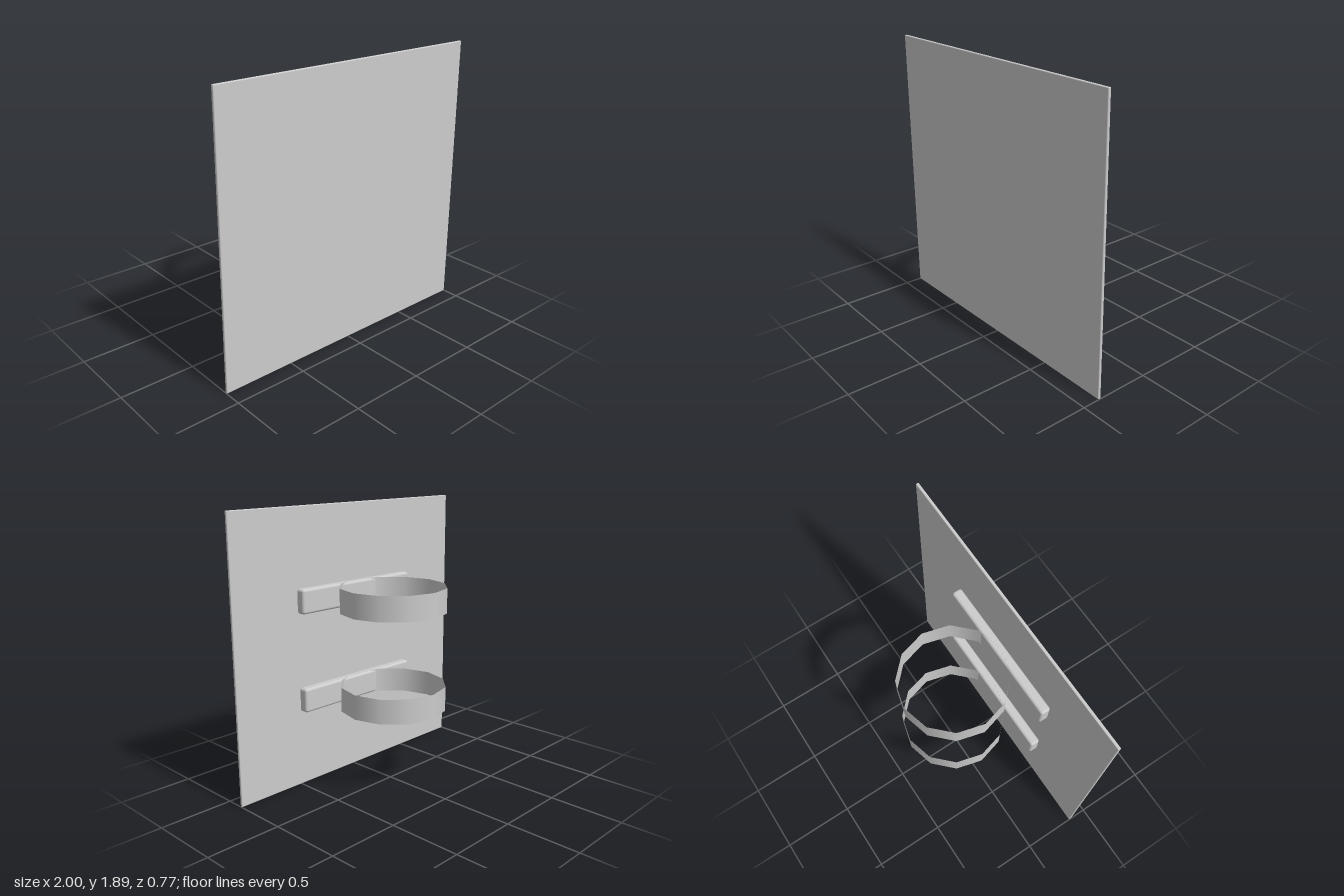
import * as THREE from 'three';
import { RoundedBoxGeometry } from 'three/addons/geometries/RoundedBoxGeometry.js';

export function createModel() {
  const model = new THREE.Group();
  model.name = 'panelWithStraps';

  const grey = new THREE.MeshStandardMaterial({ color: 0xcccccc });
  grey.name = 'light grey';
  const strapGrey = grey.clone(); // same colour, seen from both sides
  strapGrey.name = 'light grey strap';
  strapGrey.side = THREE.DoubleSide;

  const add = (name, geometry, material, x, y, z) => {
    const mesh = new THREE.Mesh(geometry, material);
    mesh.name = name;
    mesh.position.set(x, y, z);
    model.add(mesh);
  };

  // Thin upright panel with slightly softened edges
  add('panel', new RoundedBoxGeometry(2, 1.89, 0.02, 2, 0.006), grey, 0, 0.945, 0.375);

  // Two mounting bars, each with an open strap loop sunk into its back
  const barGeometry = new RoundedBoxGeometry(1, 0.165, 0.07, 3, 0.018);
  const loopGeometry = new THREE.CylinderGeometry(0.36, 0.36, 0.167, 12, 1, true);
  [['lower', 0.613], ['upper', 1.282]].forEach(([level, y]) => {
    add(level + 'Bar', barGeometry, grey, 0, y, 0.328);
    add(level + 'StrapLoop', loopGeometry, strapGrey, 0, y, -0.025);
  });

  return model;
}
